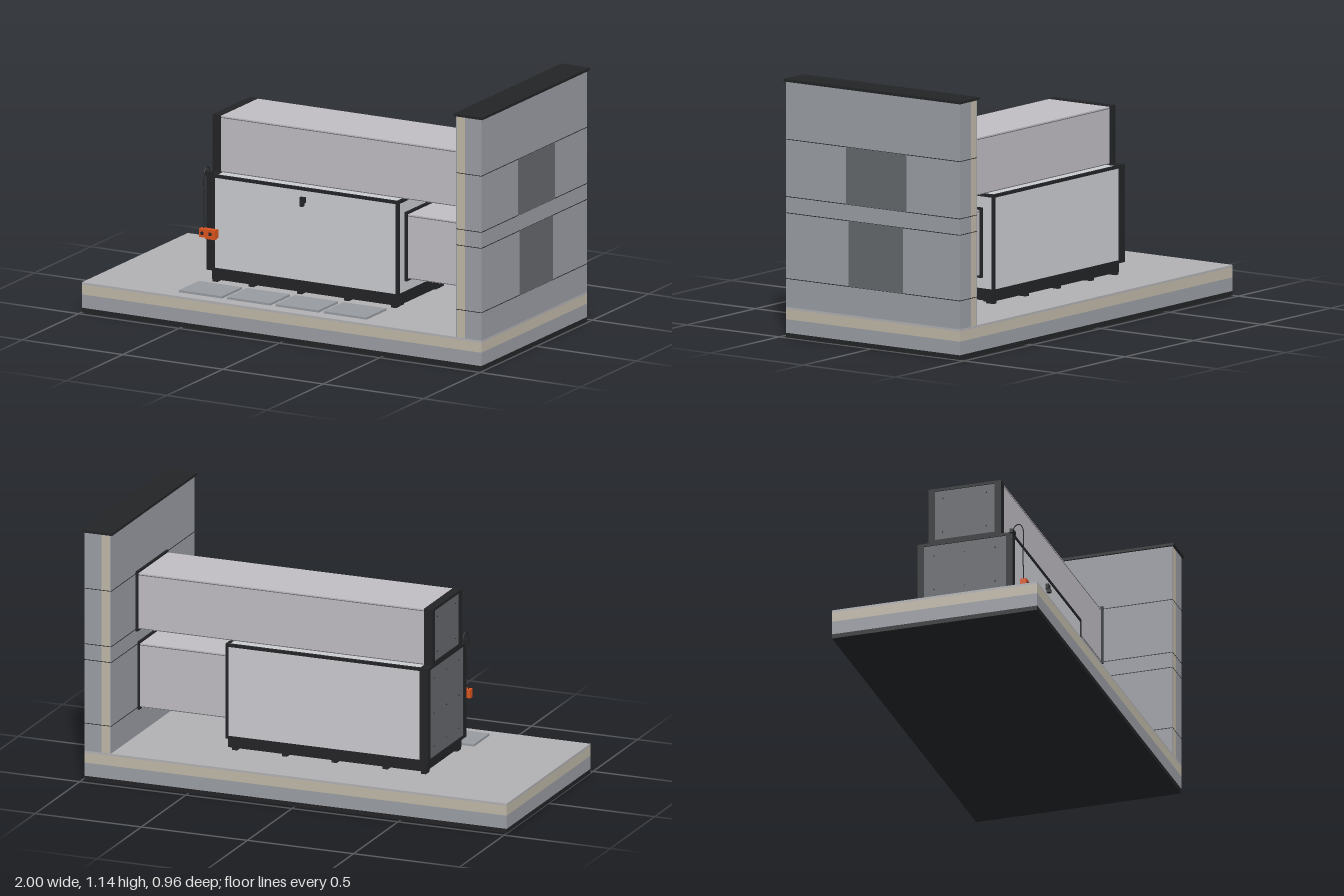
import * as THREE from 'three';

const mat = (color) => new THREE.MeshStandardMaterial({ color });
const M = {
  black: mat(0x232426), concrete: mat(0x9a9da3), insulation: mat(0xbfb8a8), floor: mat(0xb0b0b4),
  duct: mat(0xbfbcc2), panel: mat(0xcacbcf), dark: mat(0x65686c), paver: mat(0x979ba0), orange: mat(0xd9541e),
};

export function createModel() {
  const root = new THREE.Group();

  const group = (name) => {
    const g = new THREE.Group();
    g.name = name;
    root.add(g);
    return g;
  };
  // Box given by its bounds on each axis
  const box = (parent, name, m, x0, x1, y0, y1, z0, z1) => {
    const mesh = new THREE.Mesh(new THREE.BoxGeometry(x1 - x0, y1 - y0, z1 - z0), m);
    mesh.position.set((x0 + x1) / 2, (y0 + y1) / 2, (z0 + z1) / 2);
    mesh.name = name;
    parent.add(mesh);
    return mesh;
  };
  // Bars along all twelve edges of a box; tx is the bar width along x at each end
  const frame = (parent, name, x0, x1, y0, y1, z0, z1, t, txLeft = t, tz = t) => {
    for (const [a, b] of [[y0, y0 + t], [y1 - t, y1]])
      for (const [c, d] of [[z0, z0 + t], [z1 - t, z1]]) box(parent, name + 'Rail', M.black, x0, x1, a, b, c, d);
    for (const [a, b, w] of [[x0, x0 + txLeft, tz], [x1 - t, x1, t]]) {
      for (const [c, d] of [[z0, z0 + w], [z1 - w, z1]]) box(parent, name + 'Post', M.black, a, b, y0, y1, c, d);
      for (const [c, d] of [[y0, y0 + t], [y1 - t, y1]]) box(parent, name + 'Crossbar', M.black, a, b, c, d, z0, z1);
    }
  };

  // Layered roof slab
  const slab = group('slab');
  for (const [name, m, y0, y1] of [
    ['slabUnderside', M.black, 0, 0.02], ['slabConcrete', M.concrete, 0.02, 0.08],
    ['slabInsulation', M.insulation, 0.08, 0.125], ['slabFloor', M.floor, 0.125, 0.135],
  ]) box(slab, name, m, -1, 0.99, y0, y1, -0.47, 0.47);

  // Wall with insulated inner face, joints and coping
  const wall = group('wall');
  box(wall, 'wallInsulation', M.insulation, 0.87, 0.91, 0.135, 1.13, -0.47, 0.47);
  box(wall, 'wallConcrete', M.concrete, 0.91, 0.99, 0.135, 1.13, -0.47, 0.47);
  box(wall, 'wallLining', M.concrete, 0.865, 0.87, 0.135, 1.13, -0.47, 0.47);
  box(wall, 'wallCoping', M.black, 0.857, 1.0, 1.13, 1.142, -0.478, 0.478);
  for (const y of [0.26, 0.55, 0.622, 0.875])
    box(wall, 'wallJoint', M.black, 0.864, 0.991, y - 0.0015, y + 0.0015, -0.4705, 0.4705);

  // Ducts running from the unit through the wall
  const duct = (name, x0, y0, y1, z0, z1) => {
    const g = group(name);
    box(g, name + 'Body', M.duct, x0, 0.87, y0, y1, z0, z1);
    box(g, name + 'WallOpening', M.dark, 0.985, 0.992, y0, y1, z0, z1);
    box(g, name + 'WallCollar', M.black, 0.856, 0.865, y0 - 0.01, y1 + 0.01, z0 - 0.01, z1 + 0.01);
    for (const y of [y0 + 0.001, y1 - 0.009])
      box(g, name + 'Seam', M.dark, x0, 0.86, y, y + 0.003, z0 - 0.001, z1 + 0.001);
    return g;
  };
  duct('upperDuct', -0.5, 0.622, 0.875, -0.182, 0.145);
  const lower = duct('lowerDuct', 0.41, 0.26, 0.55, -0.163, 0.13);
  box(lower, 'lowerDuctUnitCollar', M.black, 0.422, 0.434, 0.25, 0.56, -0.173, 0.14);

  // Air handling unit: panelled casing in a black frame
  const unit = group('unitCasing');
  box(unit, 'casingPanels', M.panel, -0.5, 0.421, 0.195, 0.617, -0.231, 0.196);
  box(unit, 'casingEndPanel', M.dark, -0.526, -0.495, 0.195, 0.617, -0.23, 0.195);
  frame(unit, 'casing', -0.53, 0.425, 0.19, 0.622, -0.235, 0.2, 0.013, 0.04, 0.03);

  // Upper end cap of the duct
  const cap = group('upperEndCap');
  box(cap, 'endCapPanel', M.dark, -0.526, -0.495, 0.625, 0.87, -0.18, 0.143);
  frame(cap, 'endCap', -0.53, -0.49, 0.622, 0.878, -0.185, 0.148, 0.012, 0.04, 0.03);

  // Rivets on the end panels
  const rivetGeo = new THREE.CylinderGeometry(0.003, 0.003, 0.003, 8).rotateZ(Math.PI / 2);
  for (const [ys, zs] of [[[0.25, 0.4, 0.56], [-0.16, -0.02, 0.12]], [[0.67, 0.83], [-0.12, 0.08]]])
    for (const y of ys) for (const z of zs) {
      const rivet = new THREE.Mesh(rivetGeo, M.black);
      rivet.name = 'rivet';
      rivet.position.set(-0.527, y, z);
      unit.add(rivet);
    }

  // Door latch
  box(unit, 'latchPlate', M.black, -0.063, -0.037, 0.555, 0.58, 0.196, 0.21);
  box(unit, 'latchHandle', M.black, -0.057, -0.043, 0.54, 0.557, 0.2, 0.217);

  // Base rails on small pads
  const base = group('unitBase');
  for (const z of [-0.215, 0.14]) {
    box(base, 'baseRail', M.black, -0.515, 0.42, 0.146, 0.192, z, z + 0.04);
    for (const x of [-0.5, -0.32, -0.08, 0.155, 0.39])
      box(base, 'basePad', M.black, x - 0.012, x + 0.012, 0.135, 0.147, z, z + 0.04);
  }
  for (const x of [-0.515, 0.38]) box(base, 'baseCrossRail', M.black, x, x + 0.04, 0.15, 0.19, -0.2, 0.16);

  // Paving slabs
  const path = group('pavers');
  for (let i = 0; i < 4; i++) {
    const x = -0.55 + i * 0.24;
    box(path, 'paver', M.paver, x, x + 0.215, 0.135, 0.145, 0.235, 0.41);
  }

  // Orange padlock box hanging from a hooked cable
  const tag = group('hangingBox');
  box(tag, 'boxBody', M.orange, -0.532, -0.452, 0.352, 0.39, 0.236, 0.264);
  box(tag, 'boxGrip', M.orange, -0.505, -0.455, 0.346, 0.354, 0.24, 0.26);
  box(tag, 'boxLabelPlate', M.black, -0.485, -0.47, 0.364, 0.378, 0.25, 0.266);
  const dial = new THREE.Mesh(new THREE.CylinderGeometry(0.008, 0.008, 0.004, 16).rotateX(Math.PI / 2), M.black);
  dial.name = 'boxDial';
  dial.position.set(-0.517, 0.371, 0.265);
  tag.add(dial);
  const curve = new THREE.CatmullRomCurve3([
    [-0.515, 0.622, 0.195], [-0.515, 0.65, 0.205], [-0.517, 0.66, 0.225],
    [-0.518, 0.64, 0.243], [-0.518, 0.5, 0.245], [-0.518, 0.385, 0.248],
  ].map((p) => new THREE.Vector3(...p)));
  const cable = new THREE.Mesh(new THREE.TubeGeometry(curve, 40, 0.0022, 6), M.black);
  cable.name = 'boxCable';
  tag.add(cable);
  box(tag, 'cableBracket', M.black, -0.54, -0.5, 0.615, 0.633, 0.19, 0.206);

  return root;
}
